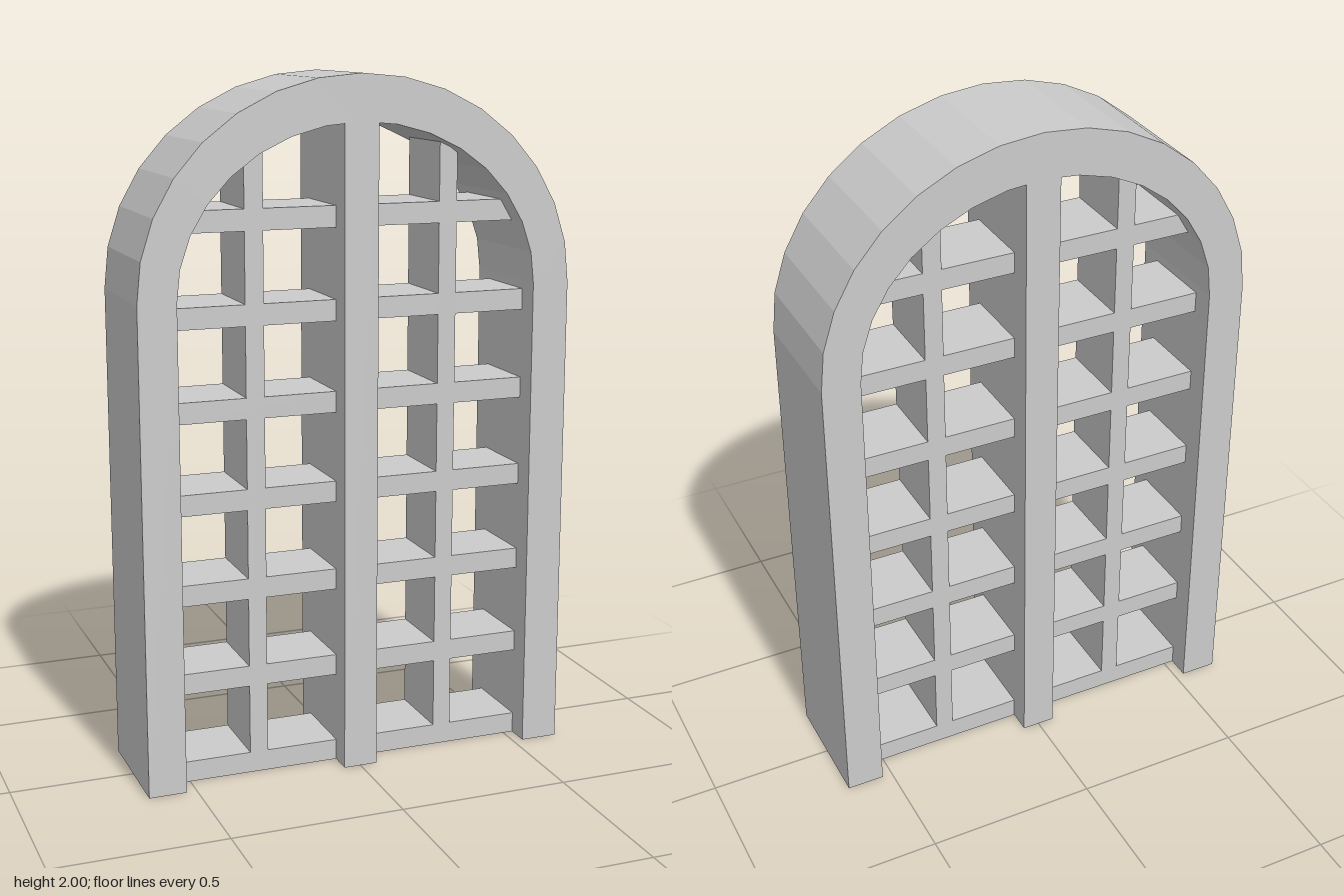
import * as THREE from 'three';

export function createModel() {
  const model = new THREE.Group();
  model.name = 'archedWindow';
  const material = new THREE.MeshStandardMaterial({ color: 0xcccccc, flatShading: true });

  const depth = 0.36, barDepth = 0.22, spring = 1.4;

  // Half-ellipse arch points, running from +x over the top to -x
  function archPoints(rx, ry, segments = 16) {
    const points = [];
    for (let i = 0; i <= segments; i++) {
      const a = (i / segments) * Math.PI;
      points.push(new THREE.Vector2(rx * Math.cos(a), spring + ry * Math.sin(a)));
    }
    return points;
  }

  function addBox(name, w, h, d, x, bottom) {
    const mesh = new THREE.Mesh(new THREE.BoxGeometry(w, h, d), material);
    mesh.name = name;
    mesh.position.set(x, bottom + h / 2, 0);
    model.add(mesh);
  }

  // Outer frame: two straight jambs joined by the arch, open at the bottom
  const outline = new THREE.Shape([
    new THREE.Vector2(0.53, 0),
    new THREE.Vector2(0.64, 0),
    ...archPoints(0.64, 0.6),
    new THREE.Vector2(-0.64, 0),
    new THREE.Vector2(-0.53, 0),
    ...archPoints(0.53, 0.47).reverse(),
  ]);
  const frameGeometry = new THREE.ExtrudeGeometry(outline, { depth, bevelEnabled: false });
  frameGeometry.translate(0, 0, -depth / 2);
  const frame = new THREE.Mesh(frameGeometry, material);
  frame.name = 'frame';
  model.add(frame);

  // Central mullion, as deep as the frame
  addBox('mullion', 0.1, 1.89, depth, 0, 0);

  // Recessed lattice on both sides of the mullion
  for (const side of [-1, 1]) {
    addBox('verticalBar', 0.054, 1.84, barDepth, side * 0.29, 0);
    for (let i = 0; i < 7; i++) {
      addBox('horizontalBar', 0.48, 0.061, barDepth, side * 0.29, i === 0 ? 0 : i * 0.2625 + 0.003);
    }
  }
  return model;
}
